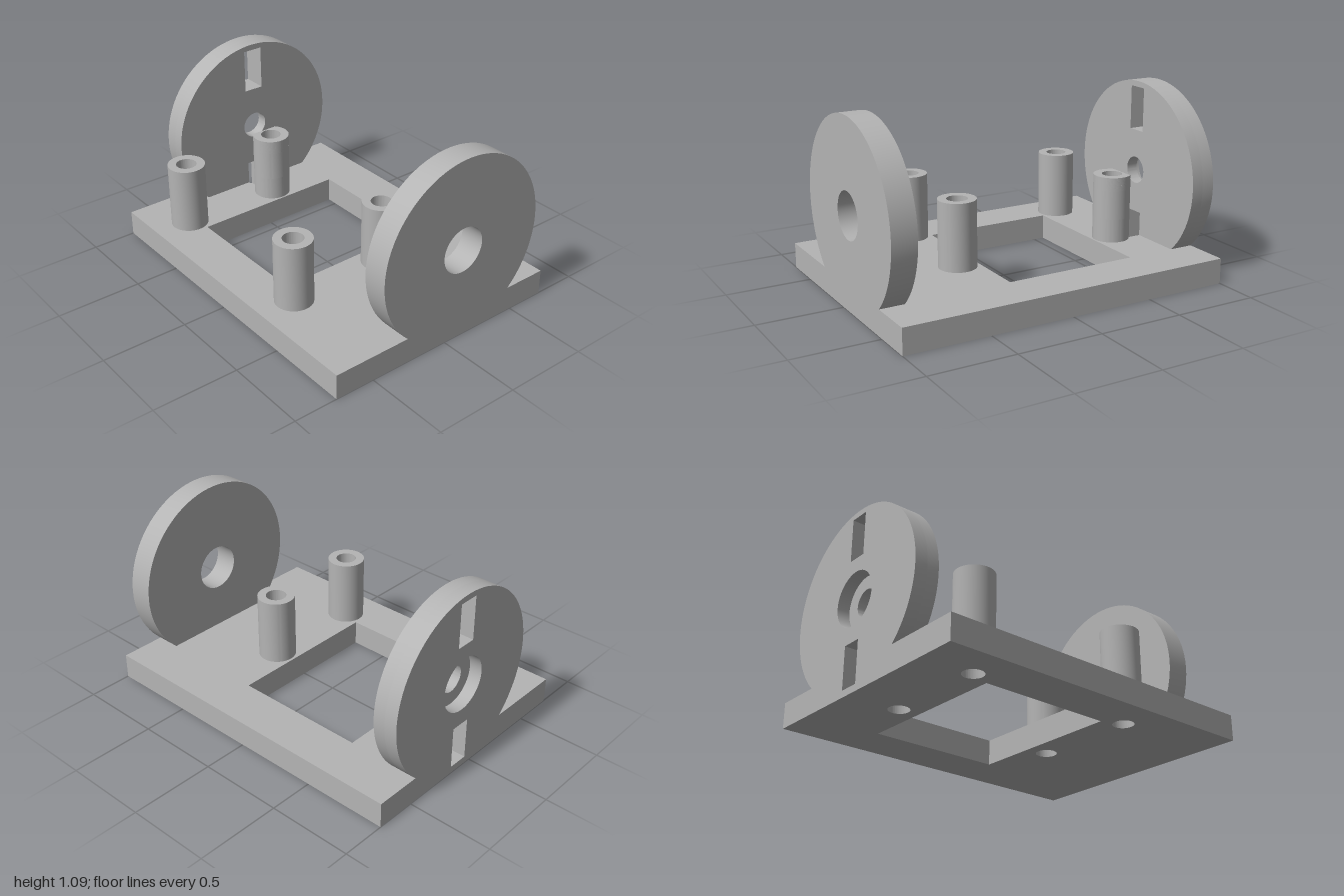
import * as THREE from 'three';
import { toCreasedNormals } from 'three/addons/utils/BufferGeometryUtils.js';

const CX = 0.1, CY = 0.545;          // axis of the discs
const BASE_TOP = 0.15, POST_TOP = 0.545;
const SLOT = 0.06;                   // half width of the key slots
const CUT_Z = -0.755;                // how far the rear cuts reach inward
const POSTS = [[-0.515, -0.685], [0.1, -0.685], [-0.515, 0.355], [0.1, 0.355]];

const grey = new THREE.MeshStandardMaterial({ color: 0xb4b4b4 });
grey.name = 'grey';

const polygon = (C, pts) => new C(pts.map(([x, y]) => new THREE.Vector2(x, y)));
const circle = (x, y, r) => new THREE.Path().absarc(x, y, r, 0, Math.PI * 2, true);

function extrude(shape, depth) {
  return new THREE.ExtrudeGeometry(shape, { depth, bevelEnabled: false, curveSegments: 32 });
}

function mesh(geometry, name) {
  const m = new THREE.Mesh(toCreasedNormals(geometry, 0.5), grey);
  m.name = name;
  return m;
}

// plan shape (x, -z) raised from y0 to y1
function slab(shape, y0, y1, name) {
  return mesh(extrude(shape, y1 - y0).rotateX(-Math.PI / 2).translate(0, y0, 0), name);
}

// upright shape (x, y) from z0 to z1
function plate(shape, z0, z1, name) {
  return mesh(extrude(shape, z1 - z0).translate(0, 0, z0), name);
}

// plate outline with window and screw holes, optionally with the slot groove
function baseShape(grooved) {
  const groove = [[CX + SLOT, 1], [CX + SLOT, -CUT_Z], [CX - SLOT, -CUT_Z], [CX - SLOT, 1]];
  const s = polygon(THREE.Shape, [[-0.74, -1], [0.74, -1], [0.74, 1], ...(grooved ? groove : []), [-0.74, 1]]);
  s.holes.push(polygon(THREE.Path, [[-0.47, 0.565], [0.465, 0.565], [0.465, -0.23], [-0.47, -0.23]]));
  POSTS.forEach(([x, z]) => s.holes.push(circle(x, -z, 0.06)));
  return s;
}

// ring section of a post; w is the half width of a notch in its rear side
function postShape(x, z, w = 0) {
  const r = 0.11, s = new THREE.Shape();
  if (w > 0) {
    const a = Math.acos(w / r);
    s.absarc(x, -z, r, Math.PI - a, Math.PI * 2 + a, false);
    s.lineTo(x + w, -CUT_Z);
    s.lineTo(x - w, -CUT_Z);
    s.closePath();
  } else {
    s.absarc(x, -z, r, 0, Math.PI * 2, false);
  }
  s.holes.push(circle(x, -z, 0.06));
  return s;
}

// disc cut off at the base, with a bore and optional key slots
function discShape(bore, slotted) {
  const r = 0.54, a = Math.asin((CY - BASE_TOP) / r);
  const s = new THREE.Shape();
  s.absarc(CX, CY, r, -a, Math.PI + a, false);
  if (slotted) {
    s.lineTo(CX - SLOT, BASE_TOP);
    s.lineTo(CX - SLOT, 0.29);
    s.lineTo(CX + SLOT, 0.29);
    s.lineTo(CX + SLOT, BASE_TOP);
    s.holes.push(polygon(THREE.Path, [[CX - SLOT, 0.79], [CX - SLOT, 1.05], [CX + SLOT, 1.05], [CX + SLOT, 0.79]]));
  }
  s.closePath();
  s.holes.push(circle(CX, CY, bore));
  return s;
}

export function createModel() {
  const model = new THREE.Group();
  model.name = 'motorMount';

  // base plate, grooved above its thin floor
  const base = new THREE.Group();
  base.name = 'basePlate';
  base.add(slab(baseShape(false), 0, 0.04, 'baseFloor'), slab(baseShape(true), 0.04, BASE_TOP, 'baseUpper'));
  model.add(base);

  // discs: plain at the front, slotted and counterbored at the back
  model.add(plate(discShape(0.135, false), 0.855, 1, 'frontDisc'));
  const back = new THREE.Group();
  back.name = 'backDisc';
  back.add(
    plate(discShape(0.16, true), -1, -0.925, 'backDiscCounterbore'),
    plate(discShape(0.08, true), -0.925, -0.855, 'backDiscInner')
  );
  model.add(back);

  // hollow posts
  POSTS.forEach(([x, z], i) => {
    if (i !== 1) model.add(slab(postShape(x, z), BASE_TOP, POST_TOP, 'post'));
  });

  // post behind the bore, notched by the slot below and the bore above
  const notched = new THREE.Group();
  notched.name = 'notchedPost';
  const [px, pz] = POSTS[1];
  const boreR = 0.08, steps = 10;
  notched.add(slab(postShape(px, pz, SLOT), BASE_TOP, 0.29, 'postFoot'));
  notched.add(slab(postShape(px, pz), 0.29, CY - boreR, 'postMiddle'));
  for (let i = 0; i < steps; i++) {
    const y0 = CY - boreR + (boreR * i) / steps, y1 = y0 + boreR / steps;
    const w = Math.sqrt(boreR ** 2 - (CY - (y0 + y1) / 2) ** 2);
    notched.add(slab(postShape(px, pz, w), y0, y1, 'postTop'));
  }
  model.add(notched);

  return model;
}
